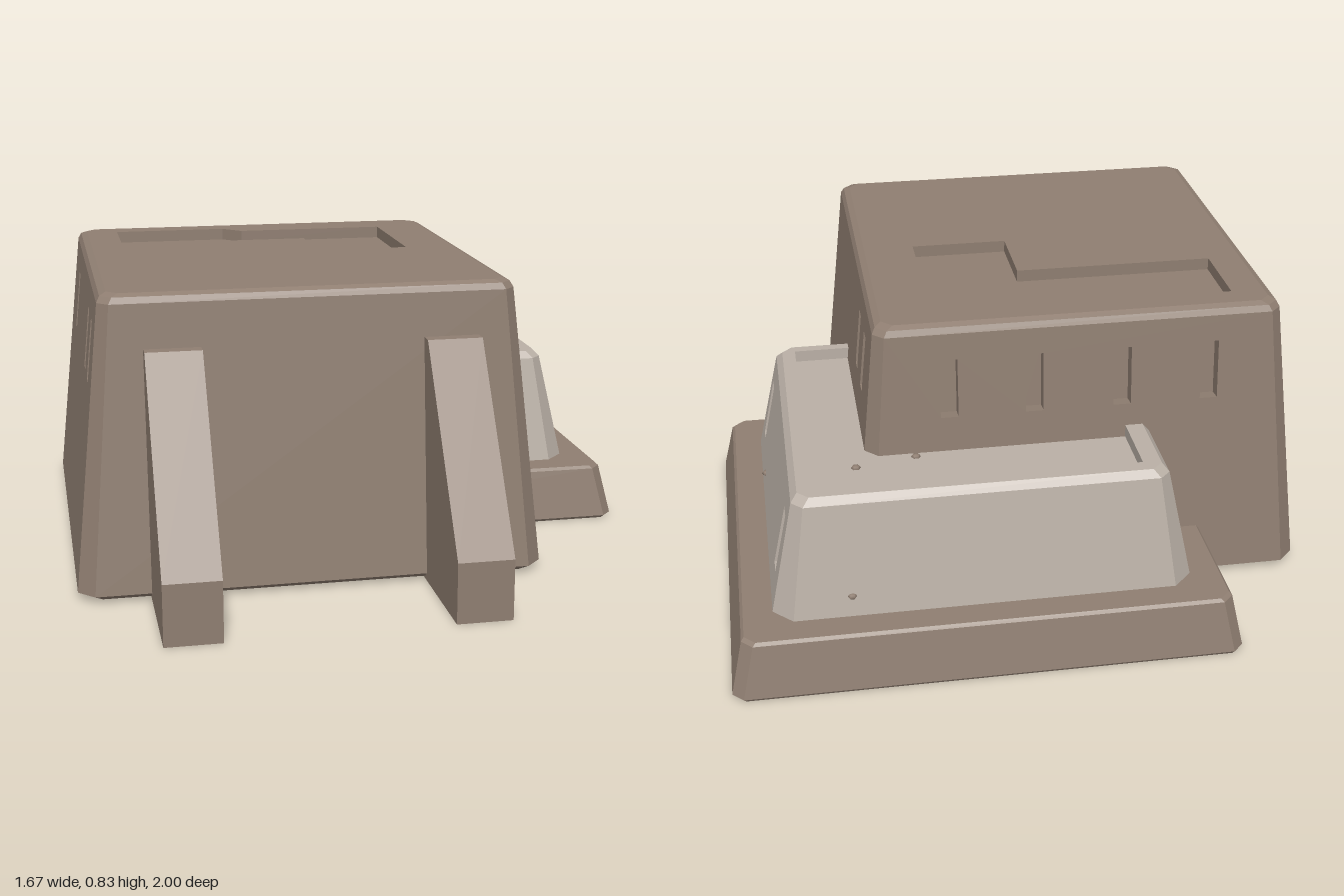
import * as THREE from 'three';

const brown = new THREE.MeshStandardMaterial({ color: 0x8f7e71 });
brown.name = 'brown plaster';
const pale = new THREE.MeshStandardMaterial({ color: 0xbab0a6 });
pale.name = 'pale plaster';

const V = (x, y, z) => new THREE.Vector3(x, y, z);

// Flat polygon with optional recessed holes; holes are lists of world points.
function face(out, pts, holes = [], depth = 0.04) {
  const o = pts[0];
  const n = pts[1].clone().sub(o).cross(pts[2].clone().sub(o)).normalize();
  const level = Math.abs(n.y) > 0.99;
  const u = level ? V(1, 0, 0) : V(0, 1, 0).cross(n).normalize();
  const v = n.clone().cross(u);
  const to2 = (p) => {
    const d = p.clone().sub(o);
    return new THREE.Vector2(d.dot(u), level ? d.dot(v) : d.y / v.y);
  };
  const push = (p, k) => {
    const w = o.clone().addScaledVector(u, p.x).addScaledVector(v, p.y).addScaledVector(n, -k);
    out.push(w.x, w.y, w.z);
  };
  const fill = (contour, inner, k) => {
    const all = [contour, ...inner].flat();
    for (const t of THREE.ShapeUtils.triangulateShape(contour, inner)) t.forEach((i) => push(all[i], k));
  };
  const cuts = holes.map((h) => {
    const c = h.map(to2);
    return THREE.ShapeUtils.isClockWise(c) ? c.reverse() : c;
  });
  fill(pts.map(to2), cuts.map((c) => c.slice().reverse()), 0);
  for (const c of cuts) {
    fill(c, [], depth);
    c.forEach((p, i) => {
      const q = c[(i + 1) % c.length];
      push(p, 0); push(q, 0); push(q, depth);
      push(p, 0); push(q, depth); push(p, depth);
    });
  }
}

// Rectangle with cut corners, anticlockwise seen from above.
function ring([y, x0, x1, z0, z1, c]) {
  return [[x1, z1 - c], [x1, z0 + c], [x1 - c, z0], [x0 + c, z0],
    [x0, z0 + c], [x0, z1 - c], [x0 + c, z1], [x1 - c, z1]].map(([x, z]) => V(x, y, z));
}

// Stack of rings, closed at both ends; slots go on the sides of one band.
function loft(name, material, levels, { band = -1, slots = {}, roof = [] } = {}) {
  const rings = levels.map(ring);
  const out = [];
  for (let k = 0; k < rings.length - 1; k++) {
    const a = rings[k], b = rings[k + 1];
    for (let i = 0; i < 8; i++) {
      const j = (i + 1) % 8;
      face(out, [a[i], a[j], b[j], b[i]], k === band ? slots[i] : []);
    }
  }
  face(out, rings[0].slice().reverse());
  face(out, rings[rings.length - 1], roof, 0.035);
  const g = new THREE.BufferGeometry();
  g.setAttribute('position', new THREE.Float32BufferAttribute(out, 3));
  g.computeVertexNormals();
  const mesh = new THREE.Mesh(g, material);
  mesh.name = name;
  return mesh;
}

// Upright window slots at positions along a wall.
const W = 0.025;
const slotsAt = (list, y0, y1) => list.map((t) =>
  [[t - W, y0], [t + W, y0], [t + W, y1], [t - W, y1]].map(([s, y]) => V(s, y, s)));
const outline = (y, pts) => pts.map(([x, z]) => V(x, y, z));

export function createModel() {
  const group = new THREE.Group();
  group.name = 'adobeHouse';

  // Tall main house, hollow and open underneath, with a stepped roof recess
  group.add(loft('mainHouse', brown, [
    [0.765, -0.70, 0.335, -0.475, 0.55, 0.03],
    [0.006, -0.78, 0.415, -0.555, 0.63, 0.03],
    [0.006, -0.812, 0.447, -0.588, 0.66, 0.04],
    [0.022, -0.838, 0.473, -0.612, 0.683, 0.045],
    [0.81, -0.757, 0.394, -0.532, 0.604, 0.03],
    [0.827, -0.748, 0.385, -0.523, 0.595, 0.03],
    [0.835, -0.73, 0.367, -0.505, 0.577, 0.03],
  ], {
    band: 3,
    slots: {
      0: slotsAt([-0.2, -0.345], 0.565, 0.735),
      2: slotsAt([-0.55, -0.3, -0.05, 0.19], 0.565, 0.735),
      4: slotsAt([-0.27, 0.28, 0.43], 0.565, 0.735),
    },
    roof: [outline(0.835, [[-0.635, -0.435], [-0.29, -0.435], [-0.235, -0.38], [0.22, -0.38],
      [0.22, 0.025], [-0.06, 0.025], [-0.06, -0.2], [-0.635, -0.2]])],
  }));

  // Low plinth of the annex
  group.add(loft('annexPlinth', brown, [
    [0, -0.56, 0.828, -0.995, 0.267, 0.03],
    [0.008, -0.565, 0.835, -1, 0.273, 0.03],
    [0.155, -0.535, 0.802, -0.97, 0.246, 0.03],
    [0.163, -0.527, 0.794, -0.962, 0.238, 0.03],
  ]));

  // Pale annex with a sunken roof
  group.add(loft('annex', pale, [
    [0.15, -0.447, 0.717, -0.887, 0.157, 0.055],
    [0.48, -0.378, 0.647, -0.828, 0.093, 0.03],
    [0.5, -0.36, 0.629, -0.81, 0.075, 0.03],
  ], {
    band: 0,
    slots: { 0: slotsAt([0.01, -0.722], 0.235, 0.41) },
    roof: [outline(0.5, [[-0.31, -0.77], [0.59, -0.77], [0.59, 0.045], [-0.31, 0.045]])],
  }));

  // Sloping front buttresses
  const profile = new THREE.Shape([[0.6, 0], [1, 0], [1, 0.17], [0.655, 0.688], [0.6, 0.688]]
    .map(([z, y]) => new THREE.Vector2(z, y)));
  for (const [name, x] of [['rightButtress', -0.485], ['leftButtress', 0.285]]) {
    const g = new THREE.ExtrudeGeometry(profile, { depth: 0.155, bevelEnabled: false });
    const b = new THREE.Mesh(g.rotateY(-Math.PI / 2), brown);
    b.position.x = x;
    b.name = name;
    group.add(b);
  }

  // Small chips where the annex plaster has worn away
  const chip = new THREE.SphereGeometry(0.014, 6, 4);
  const chips = [[0.29, 0.465, -0.585], [0.46, 0.465, -0.62], [0.703, 0.2, -0.165],
    [0.5, 0.22, -0.872], [-0.432, 0.21, -0.64]];
  for (const p of chips) {
    const m = new THREE.Mesh(chip, brown);
    m.position.set(...p);
    m.scale.set(1, 0.6, 1);
    m.name = 'plasterChip';
    group.add(m);
  }
  return group;
}
